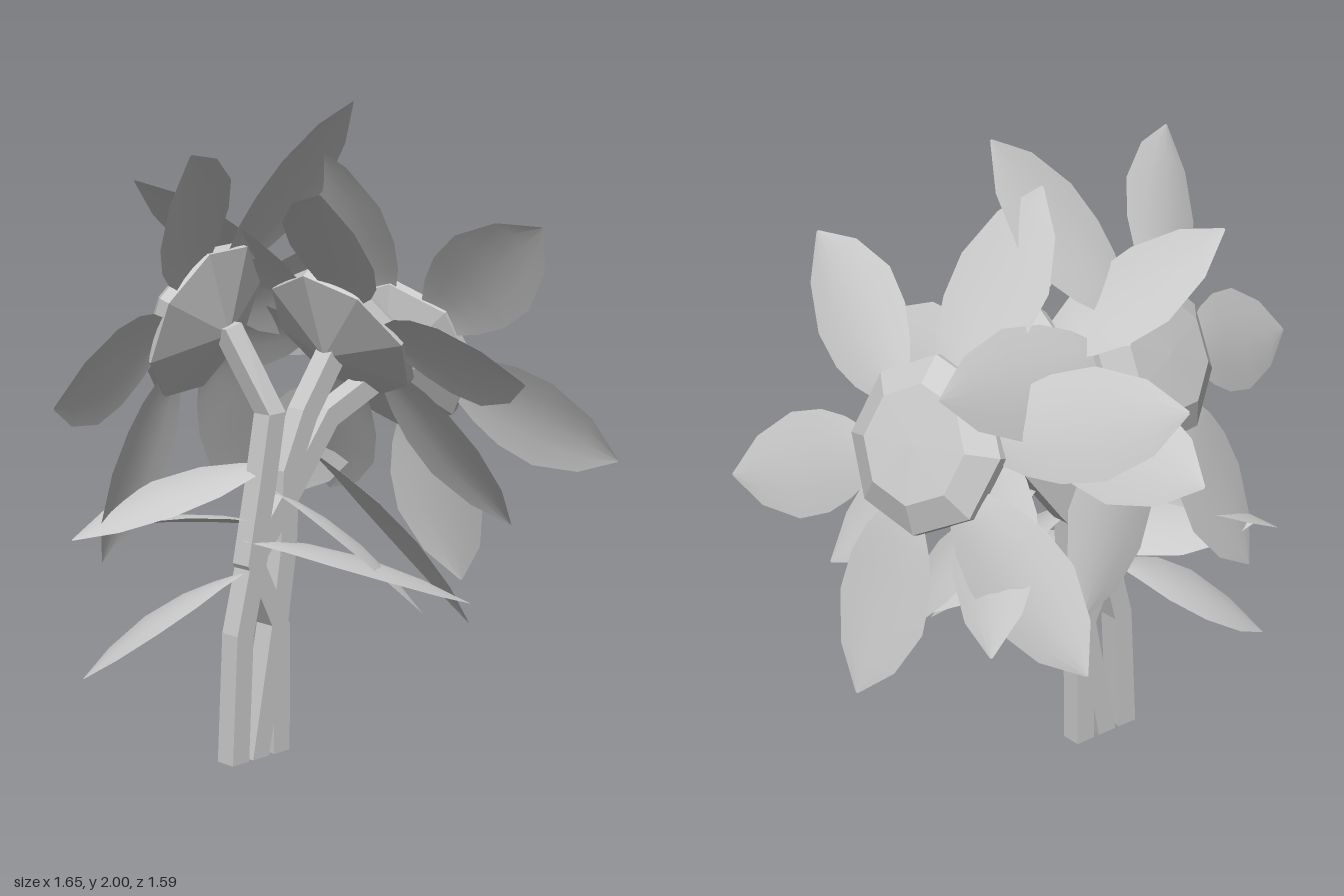
import * as THREE from 'three';

const V = (x, y, z) => new THREE.Vector3(x, y, z);
const smooth = new THREE.MeshStandardMaterial({ color: 0xcccccc, side: THREE.DoubleSide });
const flat = new THREE.MeshStandardMaterial({ color: 0xcccccc, side: THREE.DoubleSide, flatShading: true });

function mesh(name, geometry, material) {
  const m = new THREE.Mesh(geometry, material);
  m.name = name;
  return m;
}

// Joins rows of points into a surface; closed rows wrap round.
function loft(rows, closed) {
  const n = rows[0].length, index = [];
  for (let i = 0; i < rows.length - 1; i++) {
    for (let j = 0; j < (closed ? n : n - 1); j++) {
      const a = i * n + j, b = i * n + (j + 1) % n;
      index.push(a, b, b + n, a, b + n, a + n);
    }
  }
  const g = new THREE.BufferGeometry().setFromPoints(rows.flat());
  g.setIndex(index);
  g.computeVertexNormals();
  return g;
}

// Blade along +x with its upper face towards +y: [distance, half width, height]
function blade(outline, arch) {
  return loft(outline.map(([s, w, h]) =>
    [-1, -0.5, 0, 0.5, 1].map(t => V(s, h - arch * t * t * w, t * w))), false);
}

const petalShape = blade([
  [0.15, 0.05, 0.1], [0.22, 0.075, 0.098], [0.3, 0.12, 0.088], [0.4, 0.153, 0.07],
  [0.53, 0.16, 0.047], [0.68, 0.105, 0.023], [0.795, 0.004, 0],
], 0.12);

const leafShape = blade([
  [0, 0.01, 0], [0.15, 0.07, 0.02], [0.32, 0.13, 0.035], [0.55, 0.15, 0.04],
  [0.8, 0.1, 0.025], [1, 0.004, 0],
], 0.12);

// Seed head: shallow cone behind, bevelled flat face in front
const headShape = new THREE.LatheGeometry([[0, -0.01], [0.26, 0.08], [0.26, 0.115], [0.175, 0.17], [0, 0.175]]
  .map(([r, y]) => new THREE.Vector2(r, y)), 8);

// Turns a group so that local x follows dir and local y follows the facing.
function orient(object, position, dir, facing) {
  const x = dir.clone().normalize();
  const z = x.clone().cross(facing).normalize();
  const y = z.clone().cross(x);
  object.quaternion.setFromRotationMatrix(new THREE.Matrix4().makeBasis(x, y, z));
  object.position.copy(position);
  return object;
}

// Flower: six petals round a head
function flower(name, center, dir, facing) {
  const g = new THREE.Group();
  g.name = name;
  g.add(mesh('seedHead', headShape, flat));
  for (let i = 0; i < 6; i++) {
    const p = mesh('petal', petalShape, smooth);
    p.rotation.y = i * Math.PI / 3;
    g.add(p);
  }
  return orient(g, center, dir, facing);
}

// Square stem through the given points
function stem(points) {
  const r = 0.034;
  const rows = points.map((p, i) => {
    const t = points[Math.min(i + 1, points.length - 1)].clone().sub(points[Math.max(i - 1, 0)]);
    const side = (i === 0 ? V(1, 0, 0) : V(t.y, -t.x, 0).normalize()).multiplyScalar(r);
    return [[-1, 1], [1, 1], [1, -1], [-1, -1]].map(([a, b]) =>
      p.clone().addScaledVector(side, a).add(V(0, 0, b * r)));
  });
  const g = new THREE.Group();
  g.name = 'stem';
  g.add(mesh('stemSides', loft(rows, true), flat));
  for (const row of [rows[0].slice().reverse(), rows[rows.length - 1]]) {
    g.add(mesh('stemEnd', loft([[row[0], row[1]], [row[3], row[2]]], false), flat));
  }
  return g;
}

// Leaf from its base to its tip, upper face turned towards facing
function leaf(base, tip, width, facing) {
  const dir = tip.clone().sub(base), m = mesh('leaf', leafShape, smooth);
  m.scale.set(dir.length(), 1, width);
  return orient(m, base, dir, facing);
}

export function createModel() {
  const model = new THREE.Group();
  model.name = 'flowerBunch';

  model.add(
    flower('backFlower', V(-0.05, 1.305, -0.125), V(0.33, 0.69, 0.205), V(-0.204, 0.367, -0.907)),
    flower('middleFlower', V(0.25, 1.22, 0), V(0, 0, 1), V(0.78, 0.62, 0)),
    flower('sideFlower', V(0.515, 1.15, 0.007), V(0, 0.49, 0.63), V(0.896, 0.352, -0.273)),
  );

  model.add(
    stem([V(0.03, 0, 0), V(0.03, 0.4, 0), V(-0.08, 0.62, 0), V(-0.03, 0.85, 0), V(0.01, 1.07, 0), V(-0.05, 1.33, -0.13)]),
    stem([V(-0.06, 0, 0), V(0.02, 0.4, 0), V(0.06, 0.65, 0), V(0.07, 0.88, 0), V(0.15, 1.05, 0), V(0.28, 1.23, 0)]),
    stem([V(-0.145, 0, 0), V(-0.125, 0.4, 0), V(-0.06, 0.65, 0), V(0.1, 0.84, 0), V(0.25, 1.03, 0), V(0.53, 1.15, 0)]),
  );

  model.add(
    leaf(V(-0.1, 0.59, 0), V(-0.53, 0.29, -0.25), 1, V(0, 1, -0.1)),
    leaf(V(0.04, 0.91, 0), V(-0.5, 0.7, -0.33), 1, V(-0.37, 0.93, -0.03)),
    leaf(V(0.05, 0.71, 0), V(-0.43, 0.73, -0.3), 1, V(0, 1, -0.3)),
    leaf(V(0.2, 0.92, 0), V(0.54, 0.38, 0.35), 1, V(0.72, 0.64, 0.29)),
    leaf(V(0.02, 0.83, 0), V(0.38, 0.43, 0.3), 0.9, V(0, 1, 0)),
    leaf(V(-0.1, 0.69, 0), V(0.52, 0.45, 0.37), 1.2, V(0, 1, 0)),
  );
  return model;
}
